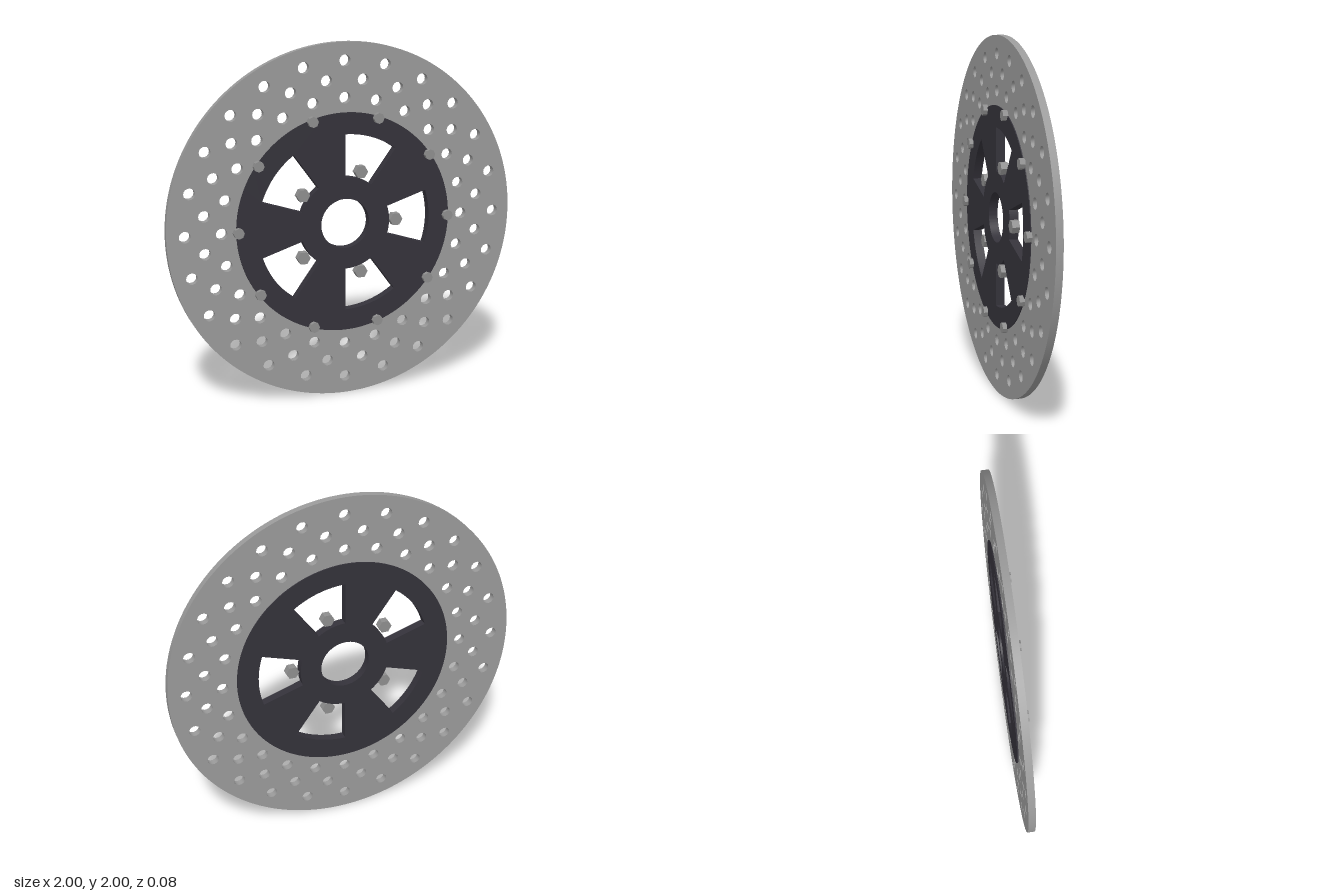
import * as THREE from 'three';
import { toCreasedNormals } from 'three/addons/utils/BufferGeometryUtils.js';

const TAU = Math.PI * 2;

function material(name, color) {
  const m = new THREE.MeshStandardMaterial({ color });
  m.name = name;
  return m;
}

function circlePath(x, y, r) {
  return new THREE.Path().absarc(x, y, r, 0, TAU, true);
}

// Flat plate from a shape, spanning z0..z1, with smooth rims and sharp edges
function plate(shape, z0, z1, curveSegments) {
  const g = new THREE.ExtrudeGeometry(shape, { depth: z1 - z0, bevelEnabled: false, curveSegments });
  g.translate(0, 0, z0);
  return toCreasedNormals(g, 0.6);
}

// Ring of identical bolts whose axes point along z
function boltRing(name, count, ringRadius, boltRadius, sides, z0, z1, mat) {
  const ring = new THREE.Group();
  ring.name = name + 's';
  const g = new THREE.CylinderGeometry(boltRadius, boltRadius, z1 - z0, sides);
  g.rotateX(Math.PI / 2);
  g.rotateZ(Math.PI / 2);
  const flat = toCreasedNormals(g, 0.3);
  for (let i = 0; i < count; i++) {
    const a = (i / count) * TAU;
    const bolt = new THREE.Mesh(flat, mat);
    bolt.name = name;
    bolt.position.set(ringRadius * Math.cos(a), ringRadius * Math.sin(a), (z0 + z1) / 2);
    ring.add(bolt);
  }
  return ring;
}

export function createModel() {
  const steel = material('brushed steel', 0x9a9a9a);
  const dark = material('dark anodised metal', 0x34323a);
  const boltSteel = material('bolt steel', 0x8e8e8e);

  const model = new THREE.Group();
  model.name = 'brakeDisc';
  const wheel = new THREE.Group();
  wheel.name = 'rotorAssembly';
  wheel.position.y = 1;
  model.add(wheel);

  // Drilled friction ring: three staggered rows of 24 holes
  const ringShape = new THREE.Shape().absarc(0, 0, 1, 0, TAU, false);
  ringShape.holes.push(circlePath(0, 0, 0.6));
  [[0.9, 0], [0.8, 0.5], [0.7, 0]].forEach(([r, shift]) => {
    for (let i = 0; i < 24; i++) {
      const a = ((i + shift) / 24) * TAU;
      // Polygonal drill hole
      const pts = [];
      for (let k = 0; k < 14; k++) {
        const t = (-k / 14) * TAU;
        pts.push(new THREE.Vector2(r * Math.cos(a) + 0.032 * Math.cos(t), r * Math.sin(a) + 0.032 * Math.sin(t)));
      }
      ringShape.holes.push(new THREE.Path(pts));
    }
  });
  const frictionRing = new THREE.Mesh(plate(ringShape, -0.031, 0.008, 96), steel);
  frictionRing.name = 'frictionRing';
  wheel.add(frictionRing);

  // Carrier with centre bore and five windows between the spokes
  const carrierShape = new THREE.Shape().absarc(0, 0, 0.62, 0, TAU, false);
  carrierShape.holes.push(circlePath(0, 0, 0.14));
  const half = Math.PI / 10;
  for (let i = 0; i < 5; i++) {
    const a = (i / 5) * TAU;
    const win = new THREE.Path();
    win.absarc(0, 0, 0.5, a - half, a + half, false);
    win.absarc(0, 0, 0.26, a + half, a - half, true);
    win.closePath();
    carrierShape.holes.push(win);
  }
  const carrier = new THREE.Mesh(plate(carrierShape, -0.038, 0.013, 64), dark);
  carrier.name = 'carrier';
  wheel.add(carrier);

  // Rim fasteners and hub bolts
  wheel.add(boltRing('rimBolt', 10, 0.61, 0.03, 8, -0.01, 0.037, boltSteel));
  wheel.add(boltRing('hubBolt', 5, 0.3, 0.038, 6, -0.022, 0.02, boltSteel));

  return model;
}
